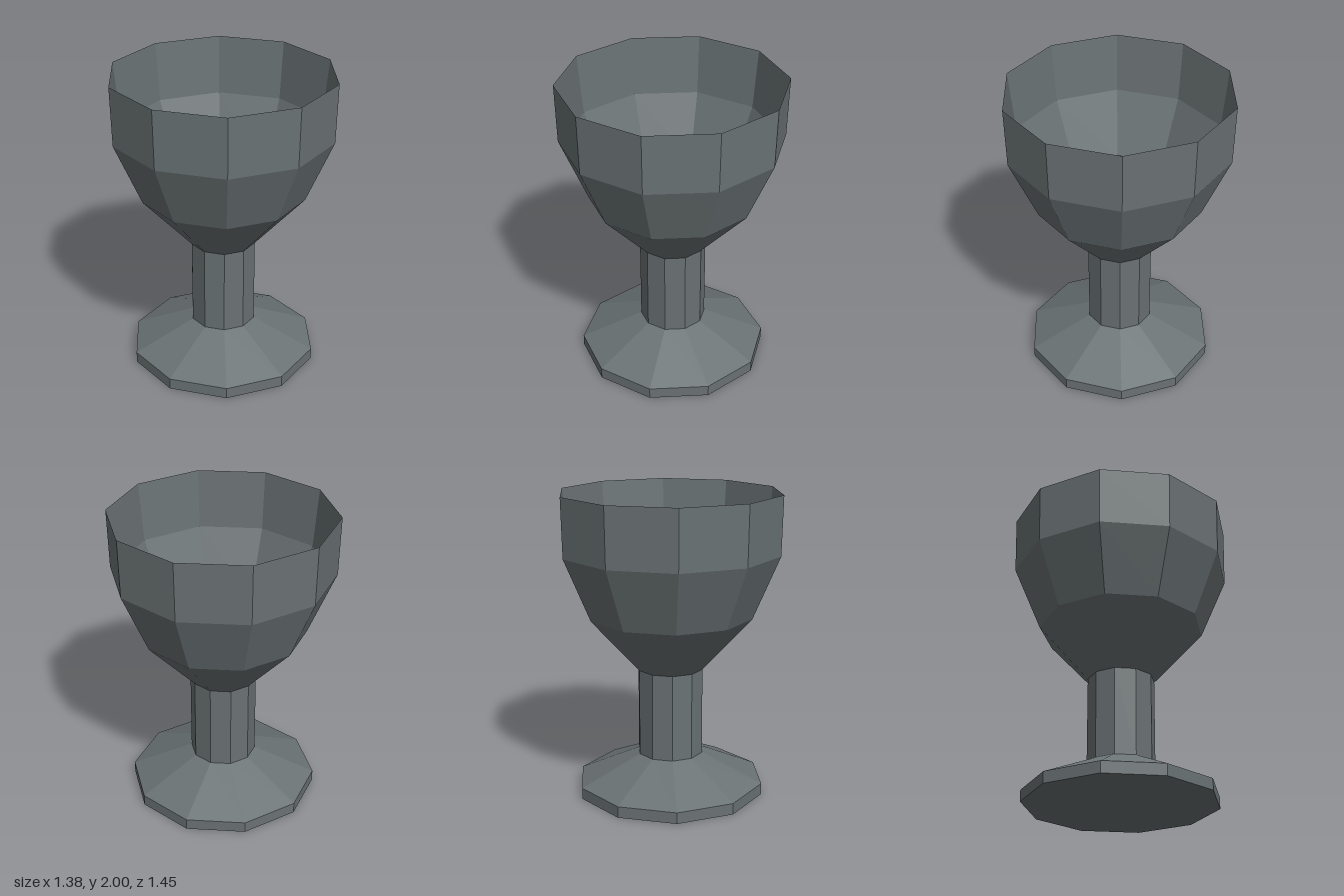
import * as THREE from 'three';

const SIDES = 10;

export function createModel() {
  const pewter = new THREE.MeshStandardMaterial({ color: 0x6a7274, flatShading: true });
  pewter.name = 'pewter';

  const group = new THREE.Group();
  group.name = 'goblet';

  // Ten-sided turned part from a [radius, height] profile, outside running upwards
  function turned(name, profile) {
    const points = profile.map(([r, y]) => new THREE.Vector2(r, y));
    const mesh = new THREE.Mesh(new THREE.LatheGeometry(points, SIDES), pewter);
    mesh.name = name;
    group.add(mesh);
  }

  // Closed underside, short rim and sloping top
  turned('foot', [[0, 0], [0.625, 0], [0.625, 0.075], [0.218, 0.26]]);

  turned('stem', [[0.218, 0.26], [0.218, 0.84]]);

  // Outside of the cup up to a sharp lip, then down the inside to a flat floor
  turned('cup', [
    [0.218, 0.84], [0.543, 1.2], [0.718, 1.615], [0.726, 2],
    [0.688, 1.61], [0.508, 1.2], [0, 1.2],
  ]);

  return group;
}
